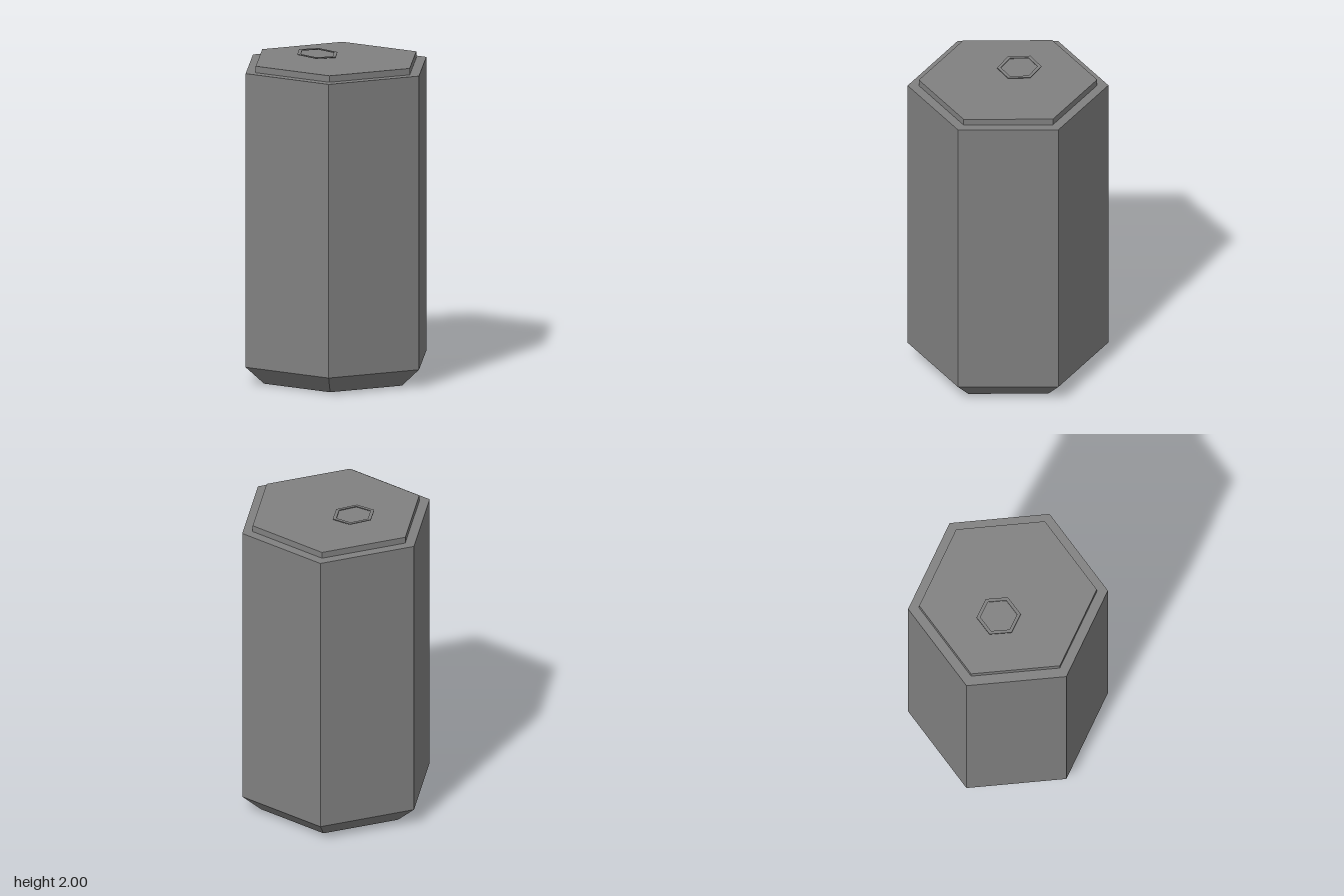
import * as THREE from 'three';

const SIDES = 6;

export function createModel() {
  const group = new THREE.Group();
  const metal = new THREE.MeshStandardMaterial({ color: 0x808080, flatShading: true });
  metal.name = 'grey metal';

  // Hexagonal section with corners on the x axis
  function section(name, rTop, rBottom, y0, y1) {
    const geometry = new THREE.CylinderGeometry(rTop, rBottom, y1 - y0, SIDES, 1, false, Math.PI / 6);
    const mesh = new THREE.Mesh(geometry, metal);
    mesh.name = name;
    mesh.position.y = (y0 + y1) / 2;
    group.add(mesh);
  }
  section('taperedBase', 0.61, 0.485, 0, 0.112);
  section('canBody', 0.61, 0.61, 0.112, 1.93);
  section('lid', 0.542, 0.542, 1.93, 1.97);

  // Thin hexagonal pull ring, tilted up at its outer end
  const hexagon = (r) => Array.from({ length: SIDES }, (_, i) => {
    const a = (i / SIDES) * Math.PI * 2;
    return new THREE.Vector2(r * Math.cos(a), r * Math.sin(a));
  });
  const ring = new THREE.Shape(hexagon(0.135));
  ring.holes.push(new THREE.Path(hexagon(0.112).reverse()));
  const thickness = 0.005;
  const geometry = new THREE.ExtrudeGeometry(ring, { depth: thickness, bevelEnabled: false });
  geometry.translate(0, 0, -thickness / 2);
  geometry.rotateX(-Math.PI / 2);
  geometry.rotateZ(-0.07);
  const pullRing = new THREE.Mesh(geometry, metal);
  pullRing.name = 'pullRing';
  pullRing.position.set(-0.137, 1.988, 0);
  group.add(pullRing);

  return group;
}
